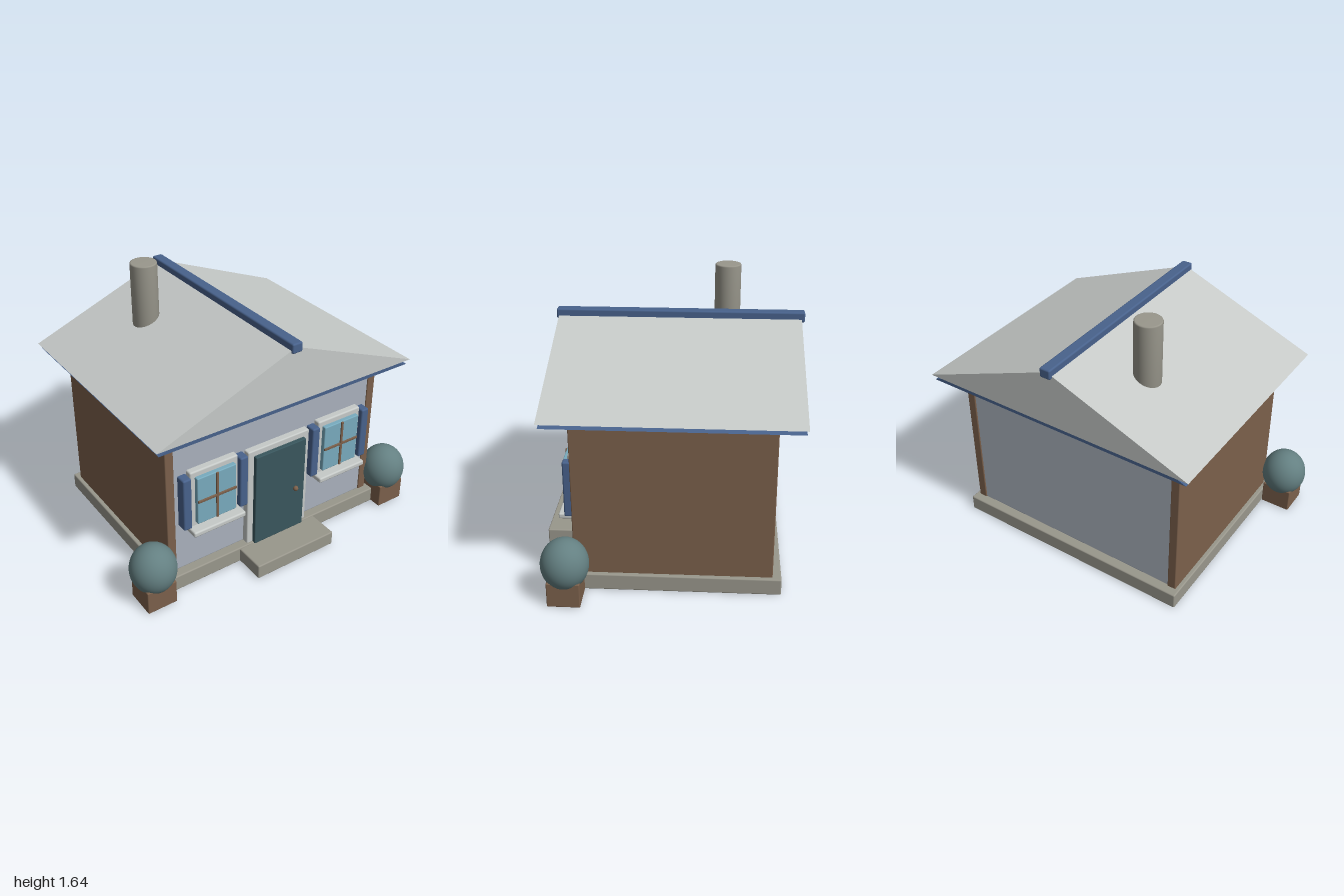
import * as THREE from 'three';
import { RoundedBoxGeometry } from 'three/addons/geometries/RoundedBoxGeometry.js';

const material = (name, color) => {
  const m = new THREE.MeshStandardMaterial({ color });
  m.name = name;
  return m;
};

export function createModel() {
  const house = new THREE.Group();
  house.name = 'house';

  const wall = material('wall blue grey', 0xa9b1bc);
  const wood = material('brown wood', 0x7b604b);
  const pale = material('pale grey', 0xc6cac8);
  const navy = material('navy trim', 0x48628c);
  const stone = material('stone', 0x99978c);
  const doorTeal = material('door teal', 0x39565d);
  const leaf = material('leaf', 0x648082);
  const glass = material('glass', 0x78abbe);

  const add = (name, geometry, mat, parent = house) => {
    const mesh = new THREE.Mesh(geometry, mat);
    mesh.name = name;
    parent.add(mesh);
    return mesh;
  };
  // Softened box given by its limits on each axis
  const box = (name, mat, [x0, x1], [y0, y1], [z0, z1], radius = 0.006, parent = house) => {
    const g = new RoundedBoxGeometry(x1 - x0, y1 - y0, z1 - z0, 2, radius);
    g.translate((x0 + x1) / 2, (y0 + y1) / 2, (z0 + z1) / 2);
    return add(name, g, mat, parent);
  };
  // Triangular prism running along z
  const prism = (name, mat, halfWidth, base, apex, z0, z1) => {
    const s = new THREE.Shape();
    s.moveTo(-halfWidth, base);
    s.lineTo(halfWidth, base);
    s.lineTo(0, apex);
    s.closePath();
    const g = new THREE.ExtrudeGeometry(s, { depth: z1 - z0, bevelEnabled: false });
    g.translate(0, 0, z0);
    return add(name, g, mat);
  };

  // Base and doorstep
  box('foundation', stone, [-0.77, 0.77], [0, 0.1], [-0.655, 0.58], 0.008);
  box('doorstep', stone, [-0.28, 0.28], [0, 0.092], [0.5, 0.768], 0.008);

  // Walls
  box('walls', wall, [-0.705, 0.705], [0.095, 1.0], [-0.598, 0.524], 0.01);
  for (const s of [-1, 1]) {
    const x = s * 0.718;
    box('sideWall', wood, [x - 0.027, x + 0.027], [0.095, 1.01], [-0.605, 0.531]);
  }

  // Roof, with the eaves prism just beneath it
  prism('roof', pale, 0.873, 1.073, 1.42, -0.749, 0.679);
  prism('eaves', navy, 0.856, 1.043, 1.38, -0.74, 0.669);
  box('ridge', navy, [-0.034, 0.034], [1.388, 1.448], [-0.768, 0.692], 0.01);

  // Chimney with a softened rim
  const chimneyProfile = [[0, 1.1], [0.08, 1.1], [0.08, 1.632], [0.077, 1.638], [0.072, 1.64], [0, 1.64]]
    .map(([r, y]) => new THREE.Vector2(r, y));
  const chimney = add('chimney', new THREE.LatheGeometry(chimneyProfile, 40), stone);
  chimney.position.set(-0.35, 0, -0.315);

  // Door
  box('doorFrame', pale, [-0.22, 0.22], [0.092, 0.757], [0.5, 0.565], 0.008);
  box('door', doorTeal, [-0.18, 0.18], [0.092, 0.72], [0.53, 0.59]);
  const knob = add('doorKnob', new THREE.SphereGeometry(0.016, 20, 14), wood);
  knob.position.set(0.11, 0.39, 0.598);

  // Windows with crossbars, sill and shutters
  for (const s of [-1, 1]) {
    const w = new THREE.Group();
    w.name = s < 0 ? 'rightWindow' : 'leftWindow';
    w.position.x = s * 0.45;
    house.add(w);
    box('windowFrame', pale, [-0.16, 0.16], [0.395, 0.775], [0.5, 0.565], 0.01, w);
    box('pane', glass, [-0.13, 0.13], [0.428, 0.74], [0.53, 0.592], 0.006, w);
    box('uprightBar', wood, [-0.008, 0.008], [0.43, 0.738], [0.58, 0.6], 0.003, w);
    box('crossBar', wood, [-0.128, 0.128], [0.576, 0.592], [0.58, 0.6], 0.003, w);
    box('sill', pale, [-0.176, 0.176], [0.373, 0.407], [0.5, 0.628], 0.01, w);
    for (const t of [-1, 1]) {
      const x = t * 0.19;
      box('shutter', navy, [x - 0.027, x + 0.027], [0.412, 0.755], [0.51, 0.587], 0.01, w);
    }
  }

  // Potted bushes at the front corners
  for (const s of [-1, 1]) {
    const x = s * 0.863;
    box('planter', wood, [x - 0.094, x + 0.094], [0, 0.15], [0.467, 0.655]);
    const bush = add('bush', new THREE.SphereGeometry(0.137, 40, 28), leaf);
    bush.scale.y = 1.11;
    bush.position.set(x, 0.228, 0.56);
  }

  return house;
}
